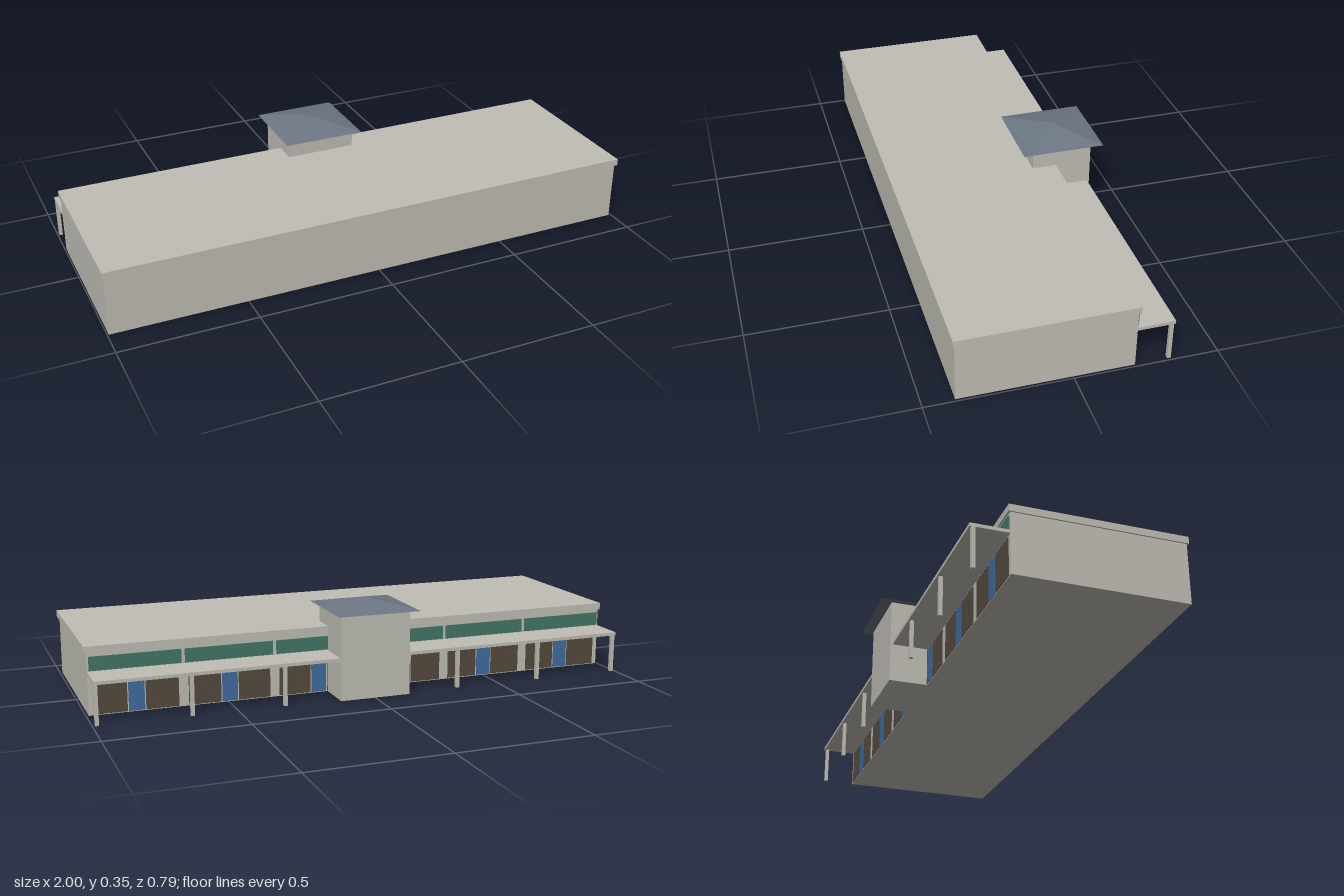
import * as THREE from 'three';

const mat = (name, color, flatShading = false) => {
  const m = new THREE.MeshStandardMaterial({ color, flatShading });
  m.name = name;
  return m;
};

export function createModel() {
  const concrete = mat('concrete', 0xc0beb5);
  const slate = mat('slate', 0x6c7683, true);
  const glass = mat('green glass', 0x437565);
  const doorBlue = mat('door blue', 0x426c9c);
  const timber = mat('brown timber', 0x544a3f);

  const model = new THREE.Group();
  model.name = 'longHall';

  // Box given by its limits on each axis
  const box = (name, material, [x0, x1], [y0, y1], [z0, z1], parent = model) => {
    const mesh = new THREE.Mesh(new THREE.BoxGeometry(x1 - x0, y1 - y0, z1 - z0), material);
    mesh.position.set((x0 + x1) / 2, (y0 + y1) / 2, (z0 + z1) / 2);
    mesh.name = name;
    parent.add(mesh);
    return mesh;
  };

  const CX = -0.002;       // centre line of the walls
  const HALF = 0.993;      // half length of the walls
  const WALL = -0.212;     // plane of the rear wall
  const BAY = (2 * HALF) / 6;

  // Main hall and its flat roof
  box('hallWalls', concrete, [CX - HALF, CX + HALF], [0, 0.218], [WALL, 0.392]);
  box('flatRoof', concrete, [-1, 1], [0.218, 0.243], [-0.218, 0.398]);

  // Entrance tower with pyramid roof
  box('tower', concrete, [CX - 0.131, CX + 0.131], [0, 0.313], [-0.352, -0.128]);
  const cone = new THREE.ConeGeometry(0.153 * Math.SQRT2, 0.035, 4);
  cone.rotateY(Math.PI / 4);
  const towerRoof = new THREE.Mesh(cone, slate);
  towerRoof.name = 'towerRoof';
  towerRoof.position.set(CX, 0.3295, -0.241);
  model.add(towerRoof);

  // Canopy and posts on both sides of the tower
  for (const s of [-1, 1]) {
    const xs = [CX + s * 0.13, CX + s * HALF].sort((a, b) => a - b);
    box('canopy', concrete, xs, [0.142, 0.154], [-0.343, WALL]);
    for (let i = 1; i <= 3; i++) {
      const x = CX + s * (i * BAY - (i === 3 ? 0.0065 : 0));
      box('canopyPost', concrete, [x - 0.0065, x + 0.0065], [0, 0.142], [-0.337, -0.324]);
    }
  }

  // Six rear bays: high window, central door, ribbed timber either side
  for (let i = 0; i < 6; i++) {
    const bay = new THREE.Group();
    bay.name = 'rearBay';
    bay.position.x = CX + (i - 2.5) * BAY;
    model.add(bay);
    box('highWindow', glass, [-0.159, 0.159], [0.157, 0.206], [-0.217, WALL], bay);
    box('door', doorBlue, [-0.028, 0.028], [0.003, 0.137], [-0.2145, WALL], bay);
    for (const s of [-1, 1]) {
      const c = s * 0.09;
      box('timberPanel', timber, [c - 0.058, c + 0.058], [0.003, 0.137], [-0.2135, WALL], bay);
      for (let k = -2; k <= 2; k++) {
        const x = c + k * 0.022;
        box('timberRib', timber, [x - 0.004, x + 0.004], [0.003, 0.137], [-0.215, -0.2135], bay);
      }
    }
  }
  return model;
}
